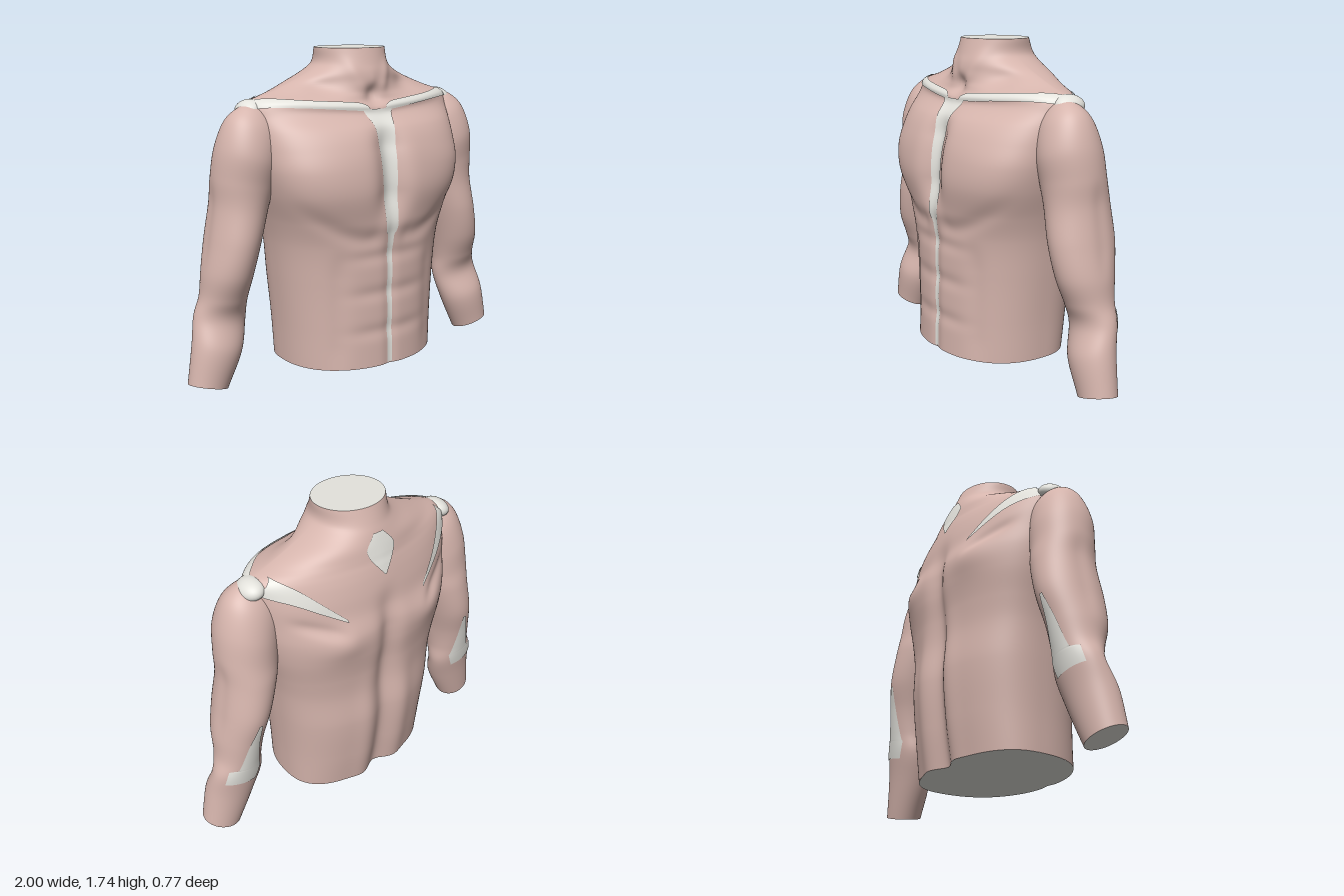
import * as THREE from 'three';
import { mergeVertices } from 'three/addons/utils/BufferGeometryUtils.js';

// Torso sections: y, half width, front z, back z, front roundness, back roundness
const TORSO = [
  [0.085, 0.45, 0.36, -0.31, 2.3, 2.5],
  [0.30, 0.46, 0.355, -0.345, 2.3, 2.4],
  [0.55, 0.48, 0.352, -0.368, 2.3, 2.4],
  [0.75, 0.50, 0.355, -0.358, 2.4, 2.4],
  [0.88, 0.525, 0.372, -0.365, 2.6, 2.4],
  [1.03, 0.565, 0.392, -0.385, 3.0, 2.3],
  [1.15, 0.59, 0.383, -0.385, 3.0, 2.2],
  [1.26, 0.605, 0.355, -0.355, 2.6, 2.1],
  [1.35, 0.615, 0.308, -0.338, 2.3, 2.0],
  [1.42, 0.62, 0.23, -0.322, 2.2, 1.85],
  [1.47, 0.62, 0.20, -0.308, 2.0, 1.7],
  [1.50, 0.59, 0.195, -0.298, 1.8, 1.65],
  [1.53, 0.50, 0.19, -0.29, 1.5, 1.75],
  [1.58, 0.37, 0.19, -0.275, 1.4, 2.0],
  [1.63, 0.26, 0.18, -0.258, 1.7, 2.0],
  [1.67, 0.205, 0.165, -0.24, 2.0, 2.0],
  [1.75, 0.195, 0.138, -0.205, 2.0, 2.0],
];
// Arm sections: key, outer x, outer y, inner x, inner y, front z, back z
const ARM = [
  [0, 1.0, 0.07, 0.79, 0.01, 0.075, -0.115],
  [1, 0.965, 0.27, 0.70, 0.20, 0.08, -0.14],
  [2, 0.935, 0.41, 0.655, 0.36, 0.035, -0.165],
  [3, 0.90, 0.51, 0.65, 0.48, 0.07, -0.18],
  [4, 0.885, 0.64, 0.625, 0.62, 0.12, -0.20],
  [5, 0.855, 0.80, 0.58, 0.79, 0.14, -0.228],
  [6, 0.825, 0.98, 0.53, 0.96, 0.13, -0.22],
  [7, 0.82, 1.12, 0.50, 1.06, 0.135, -0.20],
  [8, 0.80, 1.27, 0.48, 1.18, 0.148, -0.185],
  [9, 0.75, 1.40, 0.46, 1.30, 0.12, -0.15],
  [10, 0.68, 1.465, 0.47, 1.38, 0.075, -0.10],
  [11, 0.59, 1.495, 0.52, 1.44, 0.02, -0.03],
];
const ZC = -0.03;
const bell = (d, s) => Math.exp(-((d / s) ** 2));
const step = (a, b, v) => THREE.MathUtils.smoothstep(v, a, b);
const band = (v, a, b, s) => step(a - s, a + s, v) * (1 - step(b - s, b + s, v));
const mix = THREE.MathUtils.lerp;

// Smooth interpolation between table rows, keyed on the first column
function sample(rows, key) {
  let i = 0;
  while (i < rows.length - 2 && key > rows[i + 1][0]) i++;
  const a = rows[i], b = rows[i + 1], h = b[0] - a[0];
  const p = rows[Math.max(i - 1, 0)], q = rows[Math.min(i + 2, rows.length - 1)];
  const t = THREE.MathUtils.clamp((key - a[0]) / h, 0, 1), t2 = t * t, t3 = t2 * t;
  return a.map((v, k) => {
    const ma = ((b[k] - p[k]) / (b[0] - p[0])) * h, mb = ((q[k] - v) / (q[0] - a[0])) * h;
    return (2 * t3 - 3 * t2 + 1) * v + (t3 - 2 * t2 + t) * ma + (3 * t2 - 2 * t3) * b[k] + (t3 - t2) * mb;
  });
}

// Muscle relief, positive is outwards
function relief(x, y, side) {
  const ax = Math.abs(x);
  if (side > 0) {
    let d = -0.065 * bell(x, 0.085) * band(y, 0.93, 1.34, 0.1);        // breastbone groove
    d -= 0.012 * bell(x, 0.035) * (1 - step(0.8, 0.95, y));            // belly midline
    d -= 0.01 * bell(ax - 0.29, 0.05) * band(y, 0.12, 0.68, 0.1);      // edge of abdominals
    for (const c of [0.28, 0.49, 0.69]) d -= 0.008 * bell(y - c, 0.04) * (1 - step(0.1, 0.33, ax));
    const pecLine = 0.79 + 0.9 * Math.max(0, ax - 0.15) ** 1.5;
    d -= 0.012 * bell(y - pecLine, 0.05) * step(0.02, 0.12, ax);       // chest fold
    d += 0.02 * bell(y - 1.45 - 0.075 * ax, 0.025);                    // collarbone ridge
    d -= 0.032 * bell(ax - 0.27, 0.09) * bell(y - 1.555, 0.045);       // hollow over collarbone
    d -= 0.03 * bell(x, 0.045) * bell(y - 1.51, 0.05);                 // throat notch
    d += 0.01 * bell(ax - 0.05 - (y - 1.5) * 0.4, 0.035) * band(y, 1.52, 1.68, 0.05);
    return d;
  }
  let d = -0.04 * bell(x, 0.065) * (1 - step(1.1, 1.4, y));            // spine groove
  d += 0.012 * bell(ax - 0.13, 0.06) * (1 - step(0.6, 1.0, y));        // lower back columns
  d += 0.024 * bell(ax - 0.3, 0.13) * bell(y - 1.13, 0.1);             // shoulder blade
  d -= 0.018 * bell(y - 1.2 - 0.4 * (ax - 0.3), 0.035) * band(ax, 0.28, 0.5, 0.06);
  return d;
}

function torsoZ(x, y, side) {
  const [, w, zf, zb, nf, nb] = sample(TORSO, y);
  const n = side > 0 ? nf : nb, r = Math.min(1, Math.abs(x) / w);
  const depth = side > 0 ? zf - ZC : ZC - zb;
  return ZC + side * (depth * (1 - r ** n) ** (1 / n) + relief(x, y, side) * (1 - r ** 4));
}

function torsoPoint(y, a) {
  const x = sample(TORSO, y)[1] * Math.cos(a);
  return [x, y, torsoZ(x, y, Math.sin(a) >= 0 ? 1 : -1)];
}

function armPoint(key, a, s, grow = 0) {
  const [, ox, oy, ix, iy, zf, zb] = sample(ARM, key);
  const groove = 1 - 0.05 * bell(Math.sin(a) + 0.1, 0.22) * band(key, 4.3, 6.6, 0.6);
  const hw = Math.hypot(ox - ix, oy - iy) / 2;
  const c = Math.cos(a) * groove * (1 + grow / hw), d = Math.sin(a) * (1 + grow / 0.15);
  const tilt = 0.016 * d * (1 - step(0, 1.5, key)); // slanted wrist cut
  return [s * ((ox + ix) / 2 + (c * (ox - ix)) / 2), (oy + iy) / 2 + (c * (oy - iy)) / 2 + tilt,
    (zf + zb) / 2 + (d * (zf - zb)) / 2];
}

// Grid surface from a rule fn(u, v) with u and v in 0..1
function surface(fn, nu, nv, flip = false) {
  const pos = [], idx = [];
  for (let i = 0; i <= nu; i++) for (let j = 0; j <= nv; j++) pos.push(...fn(i / nu, j / nv));
  for (let i = 0; i < nu; i++) for (let j = 0; j < nv; j++) {
    const a = i * (nv + 1) + j, b = a + nv + 1;
    if (flip) idx.push(a, a + 1, b, b, a + 1, b + 1);
    else idx.push(a, b, a + 1, b, b + 1, a + 1);
  }
  const g = new THREE.BufferGeometry();
  g.setAttribute('position', new THREE.Float32BufferAttribute(pos, 3));
  g.setIndex(idx);
  const m = mergeVertices(g, 1e-5);
  m.computeVertexNormals();
  return m;
}

// Flat cap filling a closed ring
function cap(ring, centre, flip) {
  return surface((u, v) => ring(v * Math.PI * 2).map((p, k) => mix(centre[k], p, u)), 1, 96, flip);
}

// Thin strip laid on the torso; rows: key, x and y of one edge, x and y of the other
function strip(rows, side, s) {
  return surface((u, v) => {
    const r = sample(rows, u * rows[rows.length - 1][0]);
    const y = mix(r[2], r[4], v), w = sample(TORSO, y)[1];
    const x = THREE.MathUtils.clamp(mix(r[1], r[3], v), -w * 0.995, w * 0.995);
    return [s * (x + (0.004 * x) / w), y + 0.003, torsoZ(x, y, side) + side * 0.005];
  }, 80, 12, s * side > 0);
}

export function createModel() {
  const skin = new THREE.MeshStandardMaterial({ color: 0xd5b4ac });
  skin.name = 'skin';
  const bone = new THREE.MeshStandardMaterial({ color: 0xe3e2dc, side: THREE.DoubleSide });
  bone.name = 'bone white';
  const model = new THREE.Group();
  model.name = 'torso';
  const add = (name, geometry, material) => {
    const mesh = new THREE.Mesh(geometry, material);
    mesh.name = name;
    model.add(mesh);
    return mesh;
  };

  // Trunk with neck, closed at both cuts
  add('trunk', surface((u, v) => torsoPoint(mix(0.085, 1.75, u), v * Math.PI * 2), 170, 192), skin);
  add('neckCut', cap((a) => torsoPoint(1.75, a), [0, 1.75, ZC], true), bone);
  add('waistCut', cap((a) => torsoPoint(0.085, a), [0, 0.085, ZC], false), bone);

  // Midline strip and neck diamond
  add('breastbone', strip([[0, -0.015, 0.09, 0.015, 0.09], [1, -0.016, 0.5, 0.016, 0.5],
    [2, -0.02, 0.79, 0.02, 0.79], [2.2, -0.036, 0.83, 0.036, 0.83], [3, -0.048, 1.15, 0.048, 1.15],
    [3.6, -0.06, 1.35, 0.06, 1.35], [4, -0.09, 1.44, 0.09, 1.44]], 1, 1), bone);
  add('neckDiamond', strip([[0, -0.006, 1.42, 0.006, 1.42], [1, -0.085, 1.55, 0.085, 1.55],
    [1.5, -0.03, 1.63, 0.03, 1.63]], -1, 1), bone);

  for (const [s, label] of [[1, 'left'], [-1, 'right']]) {
    // Arm
    add(label + 'Arm', surface((u, v) => armPoint(u * 11, v * Math.PI * 2, s), 90, 64, s < 0), skin);
    add(label + 'ArmTip', cap((a) => armPoint(11, a, s), [s * 0.555, 1.468, -0.005], s > 0), skin);
    add(label + 'WristCut', cap((a) => armPoint(0, a, s), [s * 0.895, 0.04, -0.02], s < 0), bone);

    // Collarbone and shoulder blade strips, meeting at the shoulder point
    add(label + 'Collarbone', strip([[0, 0.04, 1.43, 0.06, 1.46], [1, 0.12, 1.437, 0.12, 1.478],
      [2, 0.35, 1.458, 0.35, 1.496], [3, 0.52, 1.466, 0.52, 1.508], [4, 0.61, 1.46, 0.59, 1.502]], 1, s), bone);
    add(label + 'BladeStrip', strip([[0, 0.245, 1.245, 0.25, 1.262], [1, 0.36, 1.315, 0.345, 1.355],
      [2, 0.48, 1.385, 0.45, 1.455], [3, 0.61, 1.435, 0.535, 1.512]], -1, s), bone);
    const tip = add(label + 'ShoulderPoint', new THREE.SphereGeometry(1, 32, 20), bone);
    tip.scale.set(0.068, 0.05, 0.085);
    tip.position.set(s * 0.608, 1.454, -0.04);
    tip.rotation.z = -s * 0.3;

    // Elbow plate: broad at the joint, tapering up the back of the arm
    const plate = [[1.75, -2.05, -0.72], [2.55, -2.2, -0.72], [2.6, -2.15, -1.1],
      [3.3, -1.98, -1.22], [4.8, -1.64, -1.5]];
    add(label + 'ElbowPlate', surface((u, v) => {
      const key = mix(1.75, 4.8, u);
      let i = 0;
      while (i < plate.length - 2 && key > plate[i + 1][0]) i++;
      const a = plate[i], b = plate[i + 1], t = (key - a[0]) / (b[0] - a[0]);
      return armPoint(key, mix(mix(a[1], b[1], t), mix(a[2], b[2], t), v), s, 0.005);
    }, 60, 10, s < 0), bone);
  }
  return model;
}
